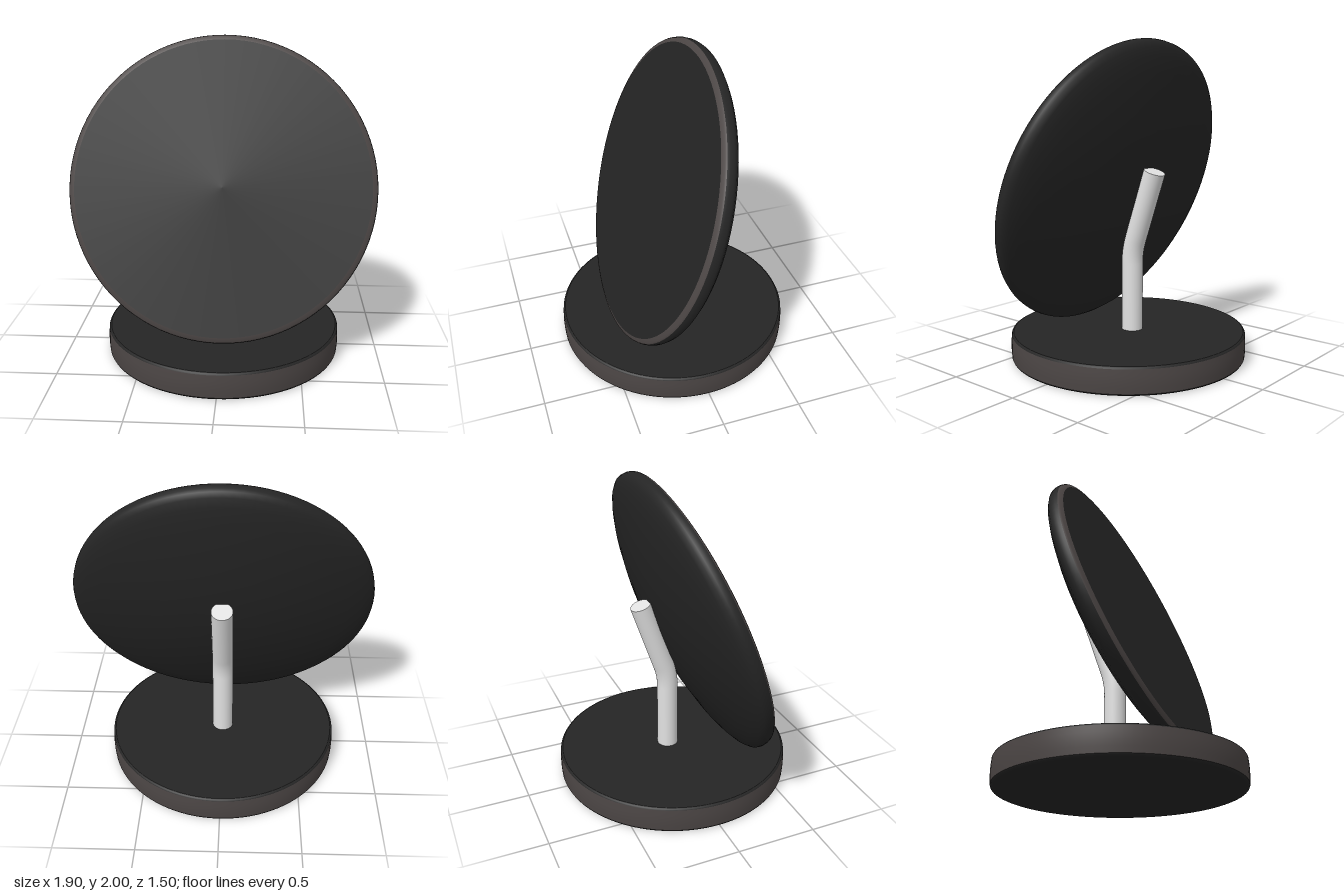
import * as THREE from 'three';

const makeMaterial = (name, color) => {
  const material = new THREE.MeshStandardMaterial({ color });
  material.name = name;
  return material;
};

export function createModel() {
  const charcoal = makeMaterial('charcoal', 0x252525);
  const warmGrey = makeMaterial('warm grey', 0x4c4645);
  const paleMetal = makeMaterial('pale metal', 0xe2e2e2);

  const add = (parent, name, geometry, material) => {
    const mesh = new THREE.Mesh(geometry, material);
    mesh.name = name;
    parent.add(mesh);
    return mesh;
  };
  // Turned part; profile of [radius, height] runs from bottom to top
  const turned = (parent, name, profile, material) =>
    add(parent, name, new THREE.LatheGeometry(
      profile.map(([r, y]) => new THREE.Vector2(r, y)), 96), material);

  const model = new THREE.Group();
  model.name = 'tiltedDiscStand';

  // Round base: underside, side band and top, with fine dark bevels
  const base = new THREE.Group();
  base.name = 'base';
  model.add(base);
  turned(base, 'baseUnderside', [[0, 0], [0.735, 0]], charcoal);
  turned(base, 'baseLowerBevel', [[0.735, 0], [0.744, 0.004], [0.748, 0.012]], charcoal);
  turned(base, 'baseSide', [[0.748, 0.012], [0.751, 0.05], [0.752, 0.085], [0.751, 0.12], [0.748, 0.158]], warmGrey);
  turned(base, 'baseUpperBevel', [[0.748, 0.158], [0.744, 0.166], [0.735, 0.17]], charcoal);
  turned(base, 'baseTop', [[0.735, 0.17], [0, 0.17]], charcoal);

  // Bent stem, leaning back along the disc
  const tilt = THREE.MathUtils.degToRad(18.9);
  const at = (y, z) => new THREE.Vector3(0, y, z);
  const bend = at(0.68, -0.033);
  const lean = at(Math.cos(tilt), -Math.sin(tilt));
  const bendStart = at(0.6, -0.033);
  const bendEnd = bend.clone().addScaledVector(lean, 0.08);
  const stemEnd = bend.clone().addScaledVector(lean, 0.545);
  const path = new THREE.CurvePath();
  path.add(new THREE.LineCurve3(at(0.16, -0.033), bendStart));
  path.add(new THREE.QuadraticBezierCurve3(bendStart, bend, bendEnd));
  path.add(new THREE.LineCurve3(bendEnd, stemEnd));
  const stem = new THREE.Group();
  stem.name = 'stem';
  model.add(stem);
  add(stem, 'stemTube', new THREE.TubeGeometry(path, 60, 0.067, 32), paleMetal);
  const cap = add(stem, 'stemCap', new THREE.CircleGeometry(0.067, 32), paleMetal);
  cap.position.copy(stemEnd);
  cap.rotation.x = -Math.PI / 2 - tilt;

  // Tilted disc: domed back shell, bevelled ring and flat front face
  const disc = new THREE.Group();
  disc.name = 'disc';
  disc.position.set(0, 1.11, 0.155);
  disc.rotation.x = Math.PI / 2 - tilt;
  model.add(disc);
  turned(disc, 'discBackShell', [
    [0, -0.27], [0.2, -0.262], [0.395, -0.24], [0.6, -0.203], [0.78, -0.158],
    [0.87, -0.126], [0.92, -0.102], [0.945, -0.08], [0.952, -0.06], [0.952, -0.035], [0.947, -0.019],
  ], charcoal);
  turned(disc, 'discRing', [[0.947, -0.019], [0.94, -0.009], [0.915, 0]], warmGrey);
  turned(disc, 'discFace', [[0.915, 0], [0, 0]], charcoal);

  return model;
}
